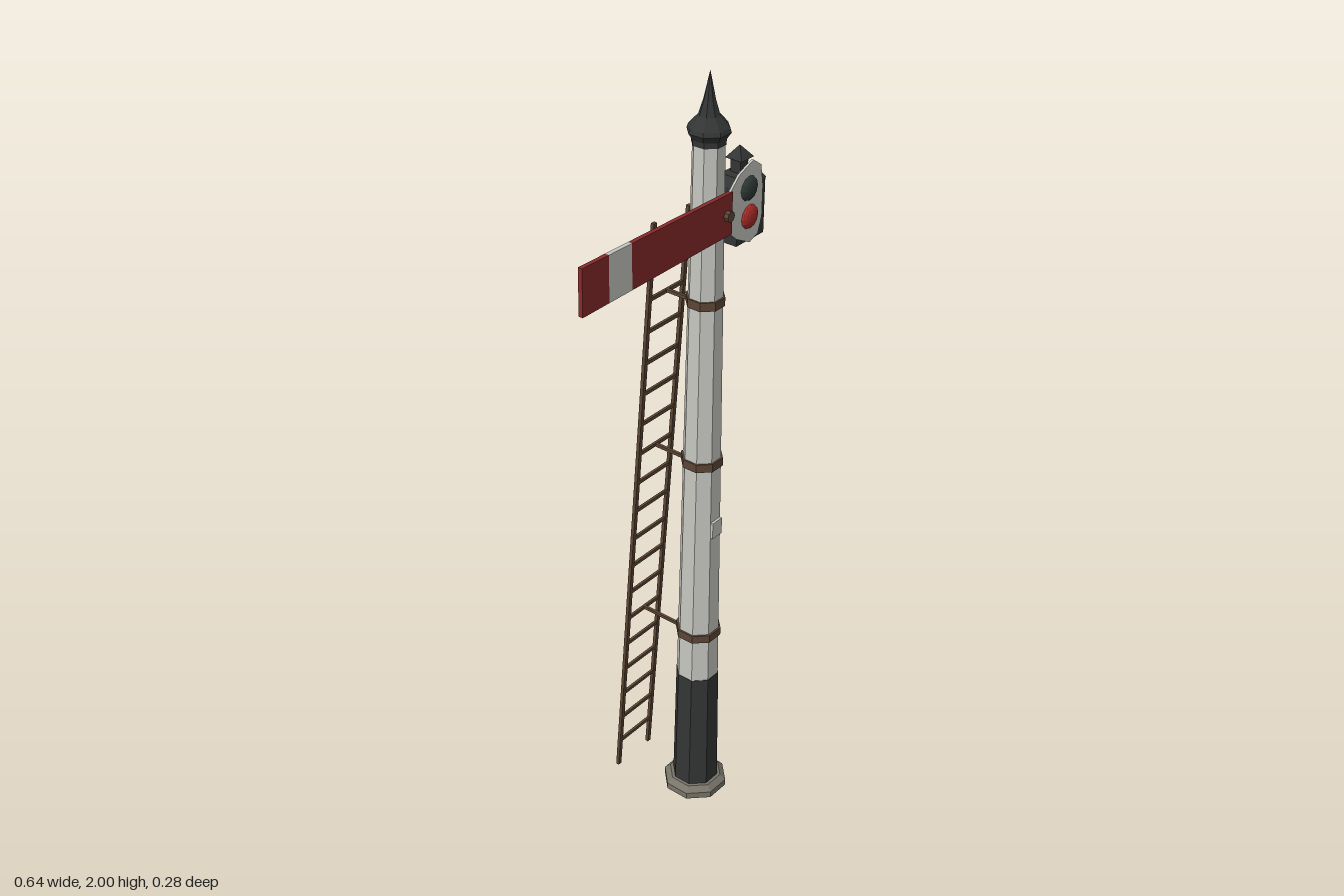
import * as THREE from 'three';

const mat = (name, color) => {
  const m = new THREE.MeshStandardMaterial({ color });
  m.name = name;
  return m;
};

export function createModel() {
  const white = mat('offWhitePaint', 0xc6c6c0);
  const black = mat('blackPaint', 0x333535);
  const red = mat('redPaint', 0x882a2a);
  const brown = mat('rustyIron', 0x5c4635);
  const stone = mat('stone', 0x78746a);
  const redGlass = mat('redGlass', 0xa82c28);
  const darkGlass = mat('darkGlass', 0x303b38);

  const model = new THREE.Group();
  model.name = 'semaphoreSignal';
  const PX = 0.16, PZ = 0.062;

  const add = (name, geo, material, x = 0, y = 0, z = 0, parent = model) => {
    const g = geo.index ? geo.toNonIndexed() : geo;
    g.computeVertexNormals(); // flat facets
    const mesh = new THREE.Mesh(g, material);
    mesh.name = name;
    mesh.position.set(x, y, z);
    parent.add(mesh);
    return mesh;
  };
  const box = (name, material, x0, x1, y0, y1, z0, z1) =>
    add(name, new THREE.BoxGeometry(x1 - x0, y1 - y0, z1 - z0), material,
      (x0 + x1) / 2, (y0 + y1) / 2, (z0 + z1) / 2);
  // Tapered prism with flat sides facing the axes; sizes are half-widths
  const prism = (name, material, sides, bottom, top, y0, y1, x = PX, z = PZ) => {
    const k = Math.cos(Math.PI / sides);
    const geo = new THREE.CylinderGeometry(top / k, bottom / k, y1 - y0, sides);
    geo.rotateY(Math.PI / sides);
    return add(name, geo, material, x, (y0 + y1) / 2, z);
  };

  // Base and post
  const postHalf = (y) => 0.056 - 0.0115 * y;
  prism('baseFoot', stone, 8, 0.078, 0.078, 0, 0.018);
  prism('baseBevel', stone, 8, 0.078, 0.064, 0.018, 0.032);
  prism('lowerPost', black, 8, postHalf(0), postHalf(0.38), 0.03, 0.38);
  prism('upperPost', white, 8, postHalf(0.38) - 0.001, postHalf(1.84), 0.38, 1.84);
  box('numberPlate', white, PX - 0.018, PX + 0.018, 0.82, 0.865, 0.1, 0.114);

  // Finial
  const k8 = Math.cos(Math.PI / 8);
  const profile = [[0, 1.835], [0.037, 1.835], [0.037, 1.848], [0.047, 1.864], [0.044, 1.874],
    [0.023, 1.9], [0.013, 1.935], [0, 2]]
    .map(([r, y]) => new THREE.Vector2(r / k8, y));
  const finialGeo = new THREE.LatheGeometry(profile, 8);
  finialGeo.rotateY(Math.PI / 8);
  add('finial', finialGeo, black, PX, 0, PZ);

  // Ladder, leaning towards the post
  const ladderZ = (y) => -0.136 + 0.0697 * y;
  const ladder = new THREE.Group();
  ladder.name = 'ladder';
  model.add(ladder);
  for (const x of [0.075, 0.2]) {
    const rail = new THREE.BoxGeometry(0.011, 1.65, 0.009);
    const p = rail.attributes.position;
    for (let i = 0; i < p.count; i++) p.setZ(i, p.getZ(i) + ladderZ(p.getY(i) + 0.825));
    add('ladderRail', rail, brown, x, 0.825, 0, ladder);
  }
  for (let i = 1; i <= 17; i++) {
    const y = i * 0.0855;
    add('ladderRung', new THREE.BoxGeometry(0.125, 0.009, 0.007), brown, 0.1375, y, ladderZ(y), ladder);
  }

  // Iron bands with stays reaching back to the ladder
  for (const y of [0.515, 1.025, 1.455]) {
    const h = postHalf(y) + 0.004;
    prism('postBand', brown, 8, h, h, y - 0.011, y + 0.011);
    box('ladderStay', brown, 0.134, 0.142, y - 0.004, y + 0.004, ladderZ(y), PZ - 0.03);
  }

  // Signal arm, slightly wider at its tip, with a pale back
  const armPart = (name, x0, x1, front, back) => {
    const geo = new THREE.BoxGeometry(x1 - x0, 1, 0.011);
    const p = geo.attributes.position, mid = (x0 + x1) / 2;
    for (let i = 0; i < p.count; i++) {
      const x = p.getX(i) + mid;
      p.setY(i, p.getY(i) * (0.105 - 0.022 * x));
    }
    add(name, geo, [front, front, front, front, front, back], mid, 1.678, 0.1125);
  };
  armPart('armTip', -0.324, -0.24, red, white);
  armPart('armStripe', -0.24, -0.166, white, brown);
  armPart('armBlade', -0.166, 0.178, red, white);

  // Pivot
  const pivot = new THREE.CylinderGeometry(0.013, 0.013, 0.04, 8);
  pivot.rotateX(Math.PI / 2);
  add('pivot', pivot, brown, PX, 1.678, 0.109);

  // Spectacle plate and lenses
  const outline = [[0.172, 1.63], [0.2, 1.605], [0.25, 1.58], [0.28, 1.592], [0.293, 1.63],
    [0.293, 1.705], [0.284, 1.758], [0.255, 1.778], [0.205, 1.758], [0.172, 1.727]]
    .map(([x, y]) => new THREE.Vector2(x, y));
  add('spectaclePlate', new THREE.ExtrudeGeometry(new THREE.Shape(outline),
    { depth: 0.006, bevelEnabled: false }), white, 0, 0, 0.109);
  for (const [name, m, x, y] of [['upperLens', darkGlass, 0.241, 1.715], ['lowerLens', redGlass, 0.246, 1.645]]) {
    const lens = new THREE.SphereGeometry(0.03, 12, 8);
    lens.rotateX(Math.PI / 2);
    lens.scale(1, 1, 0.42);
    add(name, lens, m, x, y, 0.114);
  }

  // Lamp with sloped roof, chimney and pointed cap
  box('lampBody', black, 0.216, 0.318, 1.577, 1.715, 0.033, 0.103);
  const roof = new THREE.BoxGeometry(0.106, 0.022, 0.074);
  const rp = roof.attributes.position;
  for (let i = 0; i < rp.count; i++) {
    if (rp.getY(i) > 0) rp.setXYZ(i, rp.getX(i) * 0.72, rp.getY(i), rp.getZ(i) * 0.65);
  }
  add('lampRoof', roof, black, 0.267, 1.724, 0.067);
  prism('lampChimney', black, 4, 0.014, 0.014, 1.73, 1.772, 0.267, 0.067);
  prism('lampCap', black, 4, 0.023, 0.001, 1.768, 1.796, 0.267, 0.067);
  box('lampBracket', brown, 0.18, 0.22, 1.61, 1.63, 0.048, 0.076);

  return model;
}
